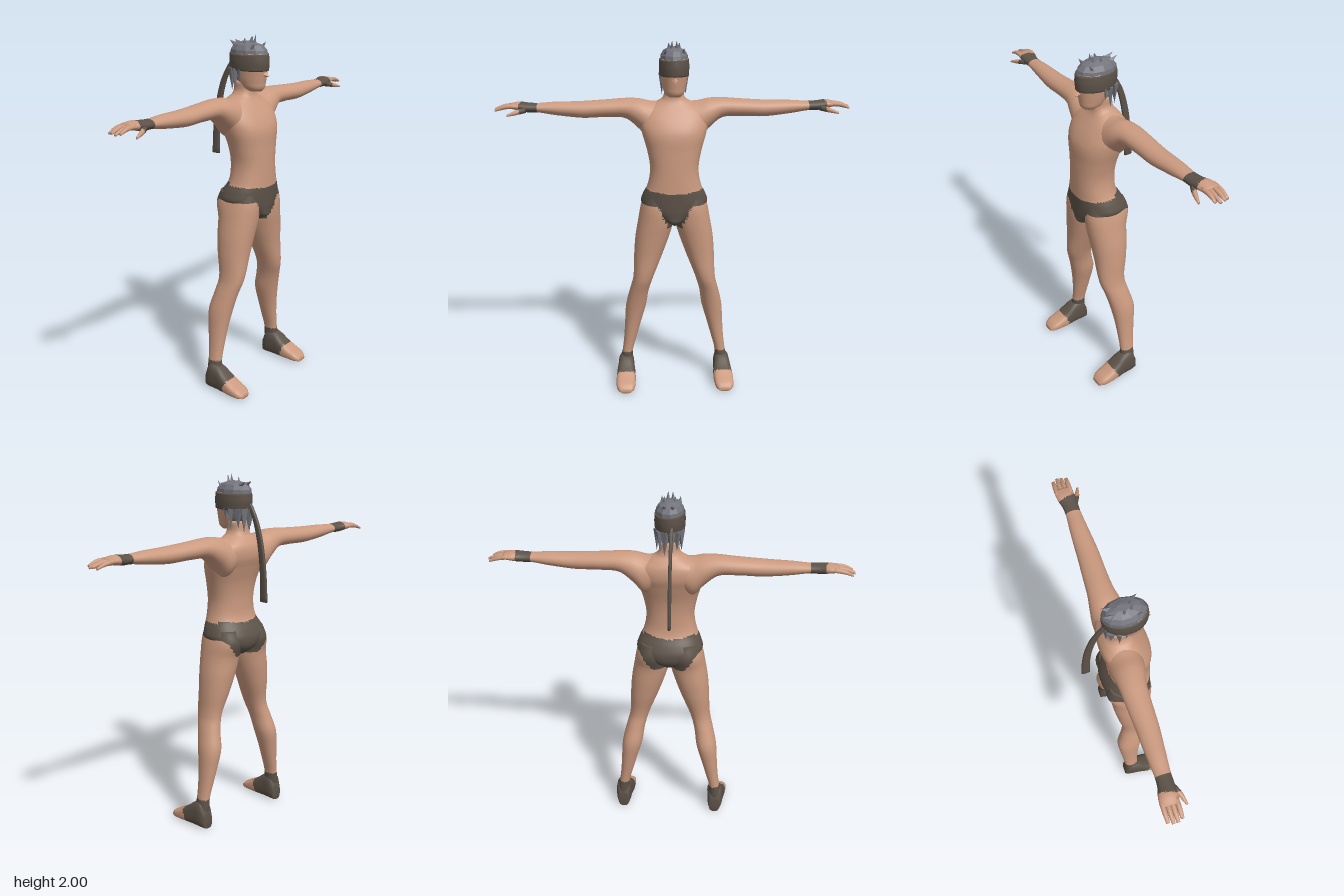
import * as THREE from 'three';

const mat = (name, color, double) => {
  const m = new THREE.MeshStandardMaterial({ color });
  m.name = name;
  if (double) m.side = THREE.DoubleSide;
  return m;
};

// Smooth loft along an axis. Keys ascend: [t, aMin, aMax, bMin, bMax], where
// (a, b) is (x, z) for axis y, (y, z) for axis x and (x, y) for axis z.
function loft(axis, keys, { seg = 28, sub = 5, power = 1, side = 1, rule = null, flat = false } = {}) {
  const times = keys.map(k => k[0]);
  const curve = new THREE.CubicInterpolant(times, keys.flatMap(k => k.slice(1)), 4);
  const put = (t, a, b) => {
    const p = axis === 'y' ? [a, t, b] : axis === 'x' ? [t, a, b] : [a, b, t];
    return [p[0] * side, p[1], p[2]];
  };
  const bend = v => Math.sign(v) * Math.pow(Math.abs(v), power);
  const pos = [], centres = [];
  const rows = (keys.length - 1) * sub;
  for (let r = 0; r <= rows; r++) {
    const k = Math.min(Math.floor(r / sub), keys.length - 2);
    const t = THREE.MathUtils.lerp(times[k], times[k + 1], r / sub - k);
    const [a0, a1, b0, b1] = curve.evaluate(t);
    const ca = (a0 + a1) / 2, cb = (b0 + b1) / 2;
    for (let i = 0; i < seg; i++) {
      const th = (i / seg) * Math.PI * 2;
      pos.push(...put(t, ca + bend(Math.cos(th)) * (a1 - a0) / 2, cb + bend(Math.sin(th)) * (b1 - b0) / 2));
    }
    if (r === 0 || r === rows) centres.push(put(t, ca, cb));
  }
  const n = (rows + 1) * seg;
  pos.push(...centres[0], ...centres[1]);
  const buckets = [[], []];
  const flip = (axis === 'y') !== (side < 0);
  const tri = (a, b, c) => {
    const mid = [0, 1, 2].map(d => (pos[a * 3 + d] + pos[b * 3 + d] + pos[c * 3 + d]) / 3);
    buckets[rule && rule(Math.abs(mid[0]), mid[1], mid[2]) ? 1 : 0].push(...(flip ? [a, c, b] : [a, b, c]));
  };
  for (let i = 0; i < seg; i++) {
    const j = (i + 1) % seg;
    for (let r = 0; r < rows; r++) {
      const p = r * seg, q = p + seg;
      tri(p + i, p + j, q + j);
      tri(p + i, q + j, q + i);
    }
    tri(n, j, i);
    tri(n + 1, rows * seg + i, rows * seg + j);
  }
  let g = new THREE.BufferGeometry();
  g.setAttribute('position', new THREE.Float32BufferAttribute(pos, 3));
  g.setIndex([...buckets[0], ...buckets[1]]);
  if (flat) g = g.toNonIndexed();
  g.addGroup(0, buckets[0].length, 0);
  g.addGroup(buckets[0].length, buckets[1].length, 1);
  g.computeVertexNormals();
  return g;
}

const sym = keys => keys.map(([t, w, b0, b1]) => [t, -w, w, b0, b1]);
const ramp = THREE.MathUtils.smoothstep;

export function createModel() {
  const skin = mat('skin', 0xcb9a7f);
  const cloth = mat('dark cloth', 0x5c5248);
  const hair = mat('grey hair', 0x74757d, true);
  const model = new THREE.Group();
  const add = (name, geometry, material, parent = model) => {
    const m = new THREE.Mesh(geometry, material);
    m.name = name;
    parent.add(m);
    return m;
  };
  // Pointed lock or nose, running from base to tip
  const spike = (name, base, tip, radius, material, parent, sides = 4) => {
    const a = new THREE.Vector3(...base), b = new THREE.Vector3(...tip);
    const dir = b.clone().sub(a);
    const g = new THREE.ConeGeometry(radius, dir.length(), sides).toNonIndexed();
    g.computeVertexNormals();
    const m = add(name, g, material, parent);
    m.position.copy(a).add(b).multiplyScalar(0.5);
    m.quaternion.setFromUnitVectors(new THREE.Vector3(0, 1, 0), dir.normalize());
  };

  // Briefs: waist line and leg openings, higher at the hips
  const briefs = (x, y, z) => {
    const leg = z > 0.03 ? 1.1 - 0.13 * (1 - ramp(x, 0.03, 0.1)) : 1.1 - 0.1 * (1 - ramp(x, 0.07, 0.17));
    return y > leg && y < 1.172 + 0.1 * x + (z < 0 ? 0.015 : 0);
  };

  // Torso and neck
  add('torso', loft('y', sym([
    [0.98, 0.012, 0.0, 0.11], [1.0, 0.045, -0.05, 0.15], [1.04, 0.115, -0.1, 0.16],
    [1.1, 0.184, -0.114, 0.162], [1.15, 0.176, -0.095, 0.163], [1.2, 0.152, -0.064, 0.163],
    [1.3, 0.135, -0.055, 0.162], [1.4, 0.15, -0.065, 0.16], [1.5, 0.178, -0.095, 0.155],
    [1.56, 0.19, -0.114, 0.13], [1.62, 0.175, -0.11, 0.09], [1.655, 0.115, -0.09, 0.065],
    [1.68, 0.068, -0.07, 0.055], [1.75, 0.055, -0.06, 0.055],
  ]), { seg: 48, sub: 6, power: 0.88, rule: briefs }), [skin, cloth]);

  for (const side of [1, -1]) {
    const which = side > 0 ? 'left' : 'right';

    // Arm with palm and wrist wrap
    add(which + 'Arm', loft('x', [
      [0.06, 1.5, 1.665, -0.1, 0.07], [0.13, 1.45, 1.668, -0.106, 0.085], [0.19, 1.51, 1.68, -0.1, 0.075],
      [0.26, 1.568, 1.682, -0.09, 0.055], [0.36, 1.578, 1.675, -0.084, 0.047], [0.5, 1.575, 1.667, -0.075, 0.043],
      [0.56, 1.58, 1.665, -0.073, 0.038], [0.66, 1.592, 1.663, -0.068, 0.028], [0.75, 1.606, 1.657, -0.062, 0.02],
      [0.8, 1.606, 1.66, -0.066, 0.02], [0.85, 1.615, 1.664, -0.08, 0.018], [0.9, 1.627, 1.654, -0.083, 0.014],
    ], { side, rule: (x, y, z) => x > 0.75 && x < 0.845 + 0.25 * z }), [skin, cloth]);

    // Fingers and thumb
    const hand = new THREE.Group();
    hand.name = which + 'Fingers';
    model.add(hand);
    for (let i = 0; i < 4; i++) {
      const z = -0.07 + i * 0.024, end = 0.972 + 0.012 * Math.sin(i * 1.05), d = (i % 2) * 0.005;
      add('finger', loft('x', [
        [0.87, 1.63, 1.655, z - 0.013, z + 0.013], [0.93, 1.622 + d, 1.645 + d, z - 0.0125, z + 0.0125],
        [end, 1.611 + d, 1.624 + d, z - 0.008, z + 0.01],
      ], { seg: 8, sub: 3, side }), skin, hand);
    }
    add('thumb', loft('x', [
      [0.81, 1.608, 1.64, -0.01, 0.025], [0.86, 1.6, 1.627, 0.018, 0.046], [0.91, 1.594, 1.606, 0.042, 0.055],
    ], { seg: 10, side, rule: x => x < 0.845 }), [skin, cloth], hand);

    // Leg with sock top
    add(which + 'Leg', loft('y', [
      [0.06, 0.25, 0.32, -0.05, 0.04], [0.12, 0.246, 0.316, -0.052, 0.036], [0.18, 0.243, 0.305, -0.052, 0.032],
      [0.26, 0.222, 0.295, -0.06, 0.036], [0.36, 0.194, 0.288, -0.072, 0.046], [0.47, 0.163, 0.28, -0.08, 0.065],
      [0.57, 0.147, 0.257, -0.055, 0.09], [0.65, 0.124, 0.237, -0.04, 0.114], [0.8, 0.066, 0.229, -0.064, 0.125],
      [0.9, 0.03, 0.221, -0.078, 0.136], [1.0, 0.003, 0.204, -0.088, 0.148], [1.08, 0.003, 0.189, -0.108, 0.152],
      [1.15, 0.02, 0.168, -0.085, 0.14],
    ], { side, sub: 6, power: 0.93, rule: (x, y, z) => y < 0.175 || briefs(x, y, z) }), [skin, cloth]);

    // Foot with open-toed sock
    add(which + 'Foot', loft('z', [
      [-0.056, 0.25, 0.312, 0.0, 0.09], [-0.03, 0.24, 0.325, 0.0, 0.15], [0.03, 0.236, 0.332, 0.0, 0.148],
      [0.09, 0.23, 0.34, 0.0, 0.105], [0.15, 0.232, 0.343, 0.0, 0.068], [0.195, 0.24, 0.336, 0.0, 0.045],
      [0.216, 0.255, 0.32, 0.002, 0.025],
    ], { side, power: 0.7, rule: (x, y, z) => z < 0.075 + 0.4 * y }), [skin, cloth]);
  }

  // Head, with hair on the nape
  const head = new THREE.Group();
  head.name = 'head';
  model.add(head);
  add('face', loft('y', sym([
    [1.7, 0.032, 0.03, 0.105], [1.715, 0.05, 0.0, 0.119], [1.75, 0.063, -0.04, 0.127],
    [1.79, 0.071, -0.068, 0.134], [1.83, 0.077, -0.083, 0.14], [1.87, 0.079, -0.088, 0.142],
    [1.91, 0.07, -0.08, 0.128], [1.935, 0.045, -0.055, 0.09],
  ]), { rule: (x, y, z) => z < 0.01 - (1.82 - y) * 0.3 }), [skin, hair], head);
  spike('nose', [0, 1.797, 0.125], [0, 1.782, 0.163], 0.02, skin, head);

  // Blindfold and its long trailing end
  add('blindfold', loft('y', sym([
    [1.812, 0.08, -0.087, 0.144], [1.855, 0.083, -0.094, 0.148], [1.9, 0.08, -0.093, 0.144],
  ]), {}), cloth, head);
  const path = [[1.32, -0.195], [1.45, -0.19], [1.61, -0.17], [1.74, -0.135], [1.81, -0.1], [1.85, -0.075]];
  add('ribbon', loft('y', path.map(([y, z], i) =>
    [y, -0.028, -0.01, z - 0.024 + i * 0.002, z + 0.024 - i * 0.002]), { seg: 12, power: 0.6 }), cloth, head);

  // Faceted hair cap and locks
  add('hairCap', loft('y', sym([
    [1.885, 0.078, -0.092, 0.142], [1.92, 0.074, -0.09, 0.134], [1.946, 0.058, -0.07, 0.108], [1.962, 0.02, -0.02, 0.05],
  ]), { seg: 11, sub: 1, flat: true }), hair, head);
  for (const s of [1, -1]) {
    [
      [[0.014, 1.945, 0.05], [0.012, 1.998, 0.06], 0.014],
      [[0.025, 1.94, 0.01], [0.03, 1.985, 0.02], 0.016],
      [[0.02, 1.935, -0.04], [0.022, 1.965, -0.09], 0.02],
      [[0.045, 1.92, 0.07], [0.05, 1.962, 0.1], 0.016],
      [[0.014, 1.82, -0.07], [0.02, 1.69, -0.078], 0.026],
      [[0.045, 1.82, -0.055], [0.046, 1.715, -0.06], 0.026],
      [[0.064, 1.82, -0.02], [0.066, 1.7, -0.02], 0.02],
      [[0.07, 1.82, 0.015], [0.071, 1.75, 0.012], 0.014],
    ].forEach(([b, t, r]) => spike('hairLock', [b[0] * s, b[1], b[2]], [t[0] * s, t[1], t[2]], r, hair, head));
  }
  return model;
}
